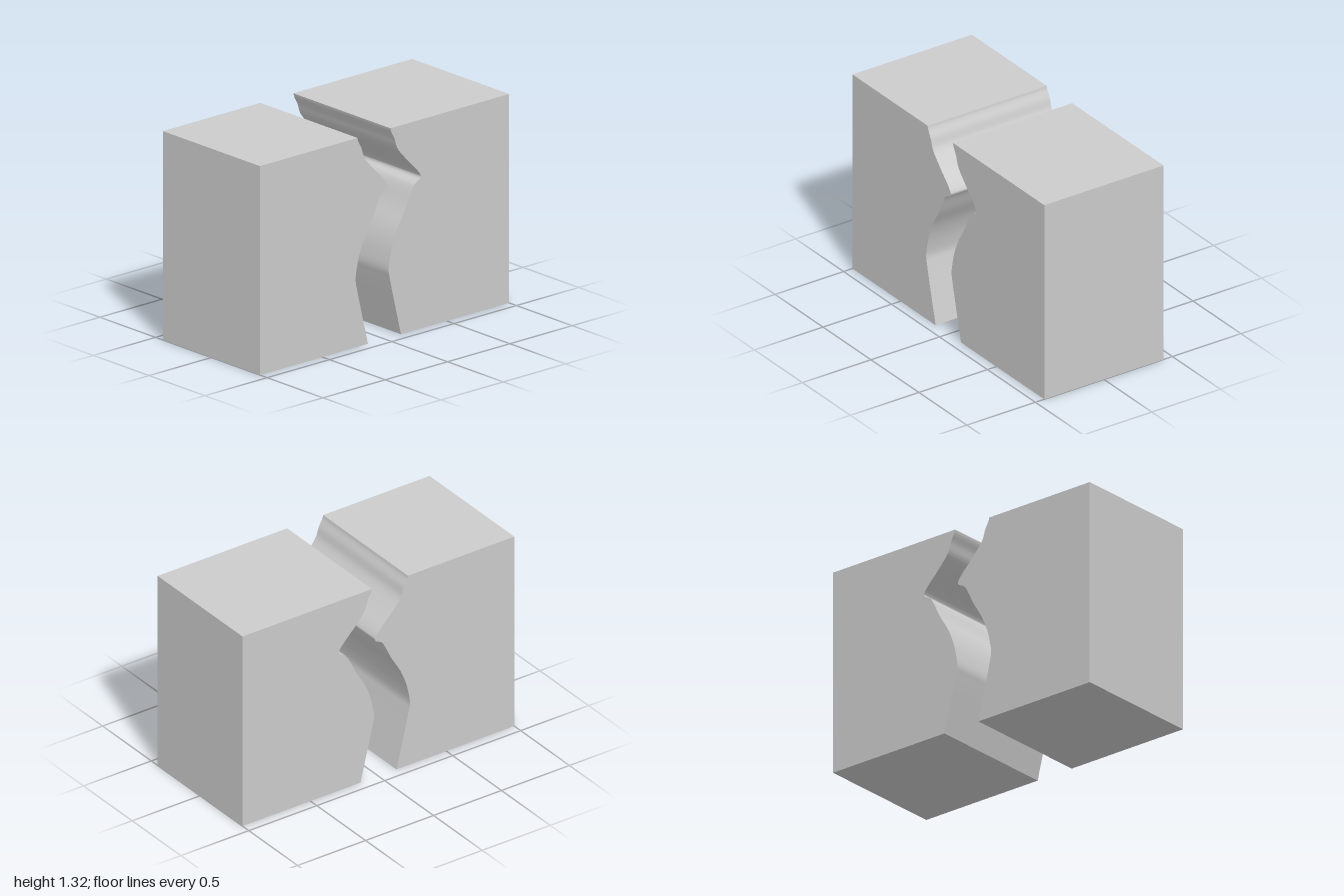
import * as THREE from 'three';
import { toCreasedNormals } from 'three/addons/utils/BufferGeometryUtils.js';

const HEIGHT = 1.32, DEPTH = 0.87, GAP = 0.265;

// Split line between the two blocks, from the base to the top [x, y]
const SPLIT = [
  [-0.133, 0], [-0.182, 0.2], [-0.222, 0.37], [-0.232, 0.425], [-0.222, 0.5],
  [-0.2, 0.585], [-0.165, 0.67], [-0.095, 0.79], [-0.04, 0.9], [-0.02, 0.925],
  [0.018, 0.946], [0.027, 0.96], [0.012, 0.99], [-0.085, 1.092], [-0.15, 1.165],
  [-0.168, 1.195], [-0.186, 1.25], [-0.212, 1.3], [-0.217, HEIGHT],
];

export function createModel() {
  const group = new THREE.Group();
  const material = new THREE.MeshStandardMaterial({ color: 0xcccccc });
  const curve = new THREE.CatmullRomCurve3(
    SPLIT.map(([x, y]) => new THREE.Vector3(x, y, 0)), false, 'centripetal');
  const line = curve.getPoints((SPLIT.length - 1) * 5);

  // Block bounded by an outer vertical wall and the shifted split line
  function addBlock(name, outerX, shift) {
    const outline = line.map((p) => new THREE.Vector2(p.x + shift, p.y));
    outline.push(new THREE.Vector2(outerX, HEIGHT), new THREE.Vector2(outerX, 0));
    const geometry = new THREE.ExtrudeGeometry(new THREE.Shape(outline), {
      depth: DEPTH, bevelEnabled: false,
    });
    geometry.translate(0, 0, -DEPTH / 2);
    const mesh = new THREE.Mesh(toCreasedNormals(geometry, 0.7), material);
    mesh.name = name;
    group.add(mesh);
  }

  addBlock('rightBlock', -1, 0);
  addBlock('leftBlock', 1, GAP);
  return group;
}
